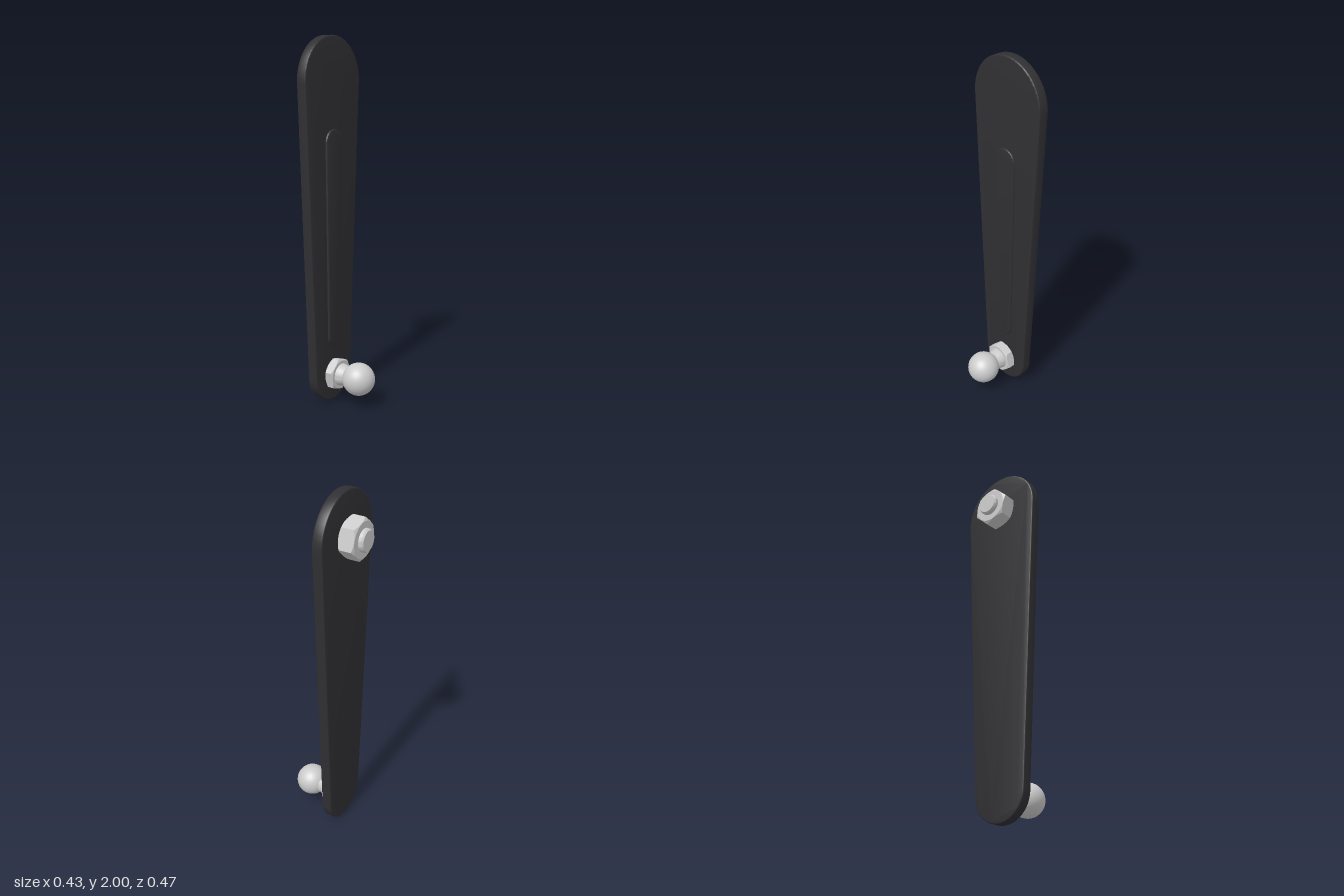
import * as THREE from 'three';
import { toCreasedNormals } from 'three/addons/utils/BufferGeometryUtils.js';

const steel = new THREE.MeshStandardMaterial({ color: 0xcccccc });
const black = new THREE.MeshStandardMaterial({ color: 0x303033 });

function addMesh(parent, name, geometry, material, y = 0) {
  const mesh = new THREE.Mesh(geometry, material);
  mesh.name = name;
  mesh.position.y = y;
  parent.add(mesh);
}

// Tapered bar with round ends, lying in the YZ plane between x0 and x1
function taperedBar(yLow, rLow, yHigh, rHigh, x0, x1, bevel) {
  const t = Math.asin((rHigh - rLow) / (yHigh - yLow));
  const shape = new THREE.Shape();
  shape.absarc(0, yHigh, rHigh - bevel, -t, Math.PI + t, false);
  shape.absarc(0, yLow, rLow - bevel, Math.PI + t, 2 * Math.PI - t, false);
  const geo = new THREE.ExtrudeGeometry(shape, {
    depth: x1 - x0 - 2 * bevel, curveSegments: 40,
    bevelThickness: bevel, bevelSize: bevel, bevelSegments: 3,
  });
  geo.translate(0, 0, x0 + bevel).rotateY(Math.PI / 2);
  return toCreasedNormals(geo, 0.6);
}

// Solid of revolution along x, from [radius, x] pairs in order of rising x
function turned(profile, crease = 0.4) {
  const geo = new THREE.LatheGeometry(profile.map(([r, x]) => new THREE.Vector2(r, x)), 48);
  return toCreasedNormals(geo.rotateZ(-Math.PI / 2), crease);
}

// Hexagon along x, with its corners cut back by a cone at both ends
function hexNut(R, x0, x1) {
  const apothem = R * Math.cos(Math.PI / 6), inner = apothem * 0.98;
  const start = THREE.MathUtils.degToRad(-17), side = Math.PI / 3;
  const points = [[0, x0], [inner, x0], [R, x0], [R, x1], [inner, x1], [0, x1]]
    .map(([r, x]) => new THREE.Vector2(r, x));
  const geo = new THREE.LatheGeometry(points, 72, start);
  const pos = geo.attributes.position;
  for (let i = 0; i < pos.count; i++) {
    const x = pos.getX(i), y = pos.getY(i), z = pos.getZ(i);
    if (Math.hypot(x, z) < (inner + R) / 2) continue;
    const a = Math.atan2(x, z) - start + 4 * Math.PI;
    const wall = apothem / Math.cos((a % side) - side / 2);
    const cut = (wall - inner) * 0.65;
    pos.setXYZ(i, x * wall / R, y < (x0 + x1) / 2 ? y + cut : y - cut, z * wall / R);
  }
  return toCreasedNormals(geo.rotateZ(-Math.PI / 2), 0.4);
}

export function createModel() {
  const group = new THREE.Group();
  const yLow = 0.155, yHigh = 1.767;

  // Lever plate with a raised rib on its outer face
  addMesh(group, 'leverPlate', taperedBar(yLow, 0.155, yHigh, 0.233, -0.103, -0.045, 0.007), black);
  addMesh(group, 'raisedRib', taperedBar(0.372, 0.053, 1.445, 0.07, -0.07, -0.035, 0.005), black);

  // Upper fastener on the back of the plate
  const upper = new THREE.Group();
  upper.name = 'upperFastener';
  upper.position.y = yHigh;
  addMesh(upper, 'upperNut', hexNut(0.11, -0.193, -0.103), steel);
  addMesh(upper, 'threadedStud', turned([
    [0, -0.218], [0.052, -0.218], [0.059, -0.209], [0.059, -0.15], [0, -0.15],
  ]), steel);

  // Ball stud at the narrow end
  const ballStud = new THREE.Group();
  ballStud.name = 'ballStud';
  ballStud.position.y = yLow;
  addMesh(ballStud, 'studHexCollar', hexNut(0.092, -0.045, 0.007), steel);
  addMesh(ballStud, 'studNeck', turned([
    [0, 0], [0.062, 0], [0.062, 0.007], [0.057, 0.03], [0.052, 0.052], [0.052, 0.075], [0, 0.075],
  ]), steel);
  const ball = new THREE.SphereGeometry(0.09, 48, 32).rotateZ(-Math.PI / 2).translate(0.125, 0, 0);
  addMesh(ballStud, 'ball', ball, steel);

  group.add(upper, ballStud);
  return group;
}
